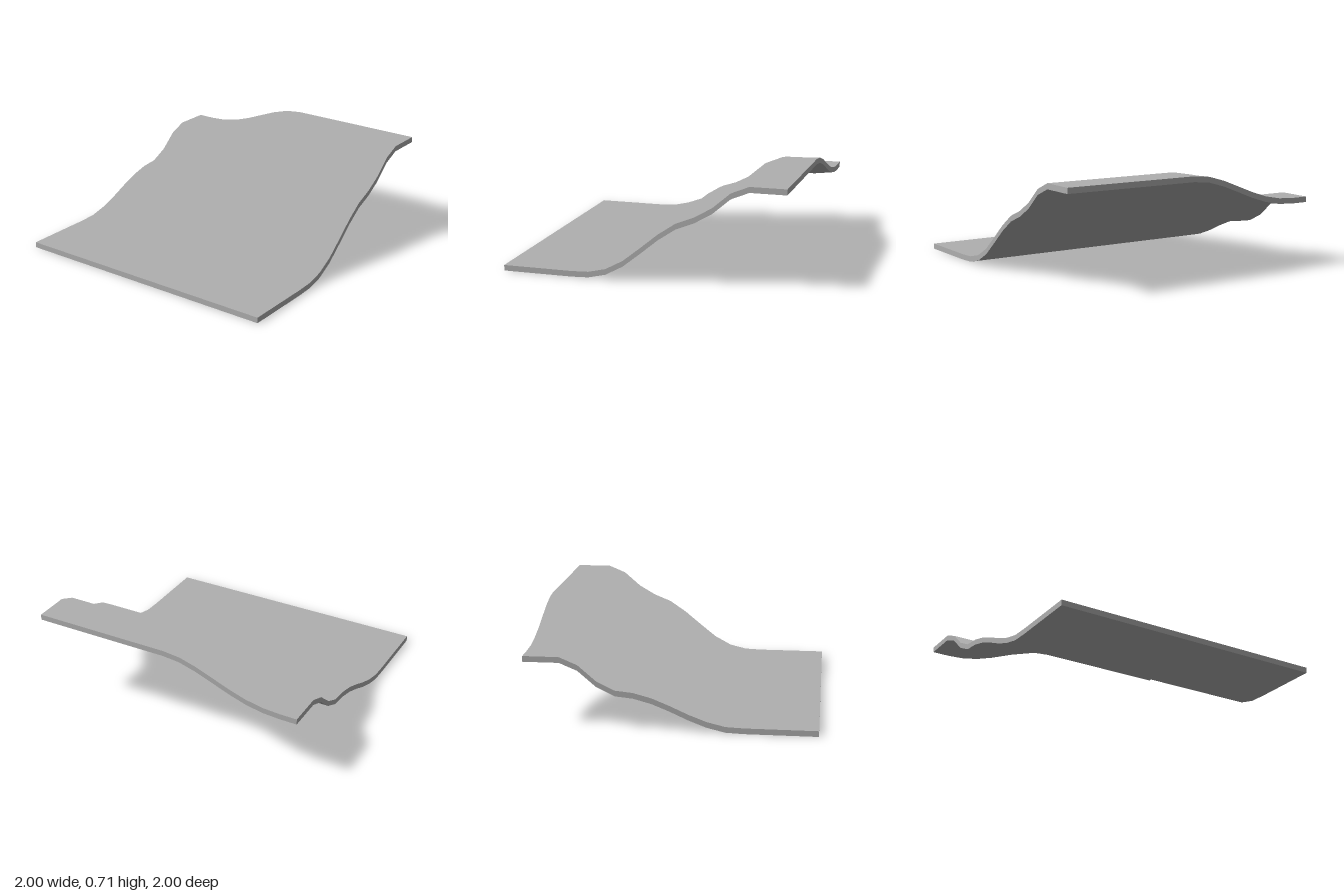
import * as THREE from 'three';

const THICKNESS = 0.04;
const CELLS = 16;

// Underside height of the slope at each grid row, from z = 0.5 back to z = -0.75
const SLOPE = [0, 0.005, 0.035, 0.103, 0.203, 0.307, 0.392, 0.442, 0.515, 0.623, 0.675];

function slopeHeight(z) {
  const t = THREE.MathUtils.clamp((0.5 - z) * 8, 0, SLOPE.length - 1);
  const i = Math.min(Math.floor(t), SLOPE.length - 2);
  return THREE.MathUtils.lerp(SLOPE[i], SLOPE[i + 1], t - i);
}

// Round, soft-edged hollow pressed into the back corner
function hollowDepth(x, z) {
  const r = Math.hypot(x + 1, z + 0.75);
  return 0.22 * (1 - THREE.MathUtils.smoothstep(r, 0.27, 1.02));
}

export function createModel() {
  const group = new THREE.Group();
  group.name = 'terrainTile';

  // Gridded slab whose vertices are lifted onto the hillside;
  // it keeps the box's own normals, so each side is evenly shaded
  const geometry = new THREE.BoxGeometry(2, THICKNESS, 2, CELLS, 1, CELLS);
  geometry.translate(0, THICKNESS / 2, 0);
  const p = geometry.attributes.position;
  for (let i = 0; i < p.count; i++) {
    const x = p.getX(i), z = p.getZ(i);
    p.setY(i, p.getY(i) + slopeHeight(z) - hollowDepth(x, z));
  }

  const slab = new THREE.Mesh(geometry, new THREE.MeshStandardMaterial({ color: 0xafafaf }));
  slab.name = 'hillsideSlab';
  group.add(slab);
  return group;
}
